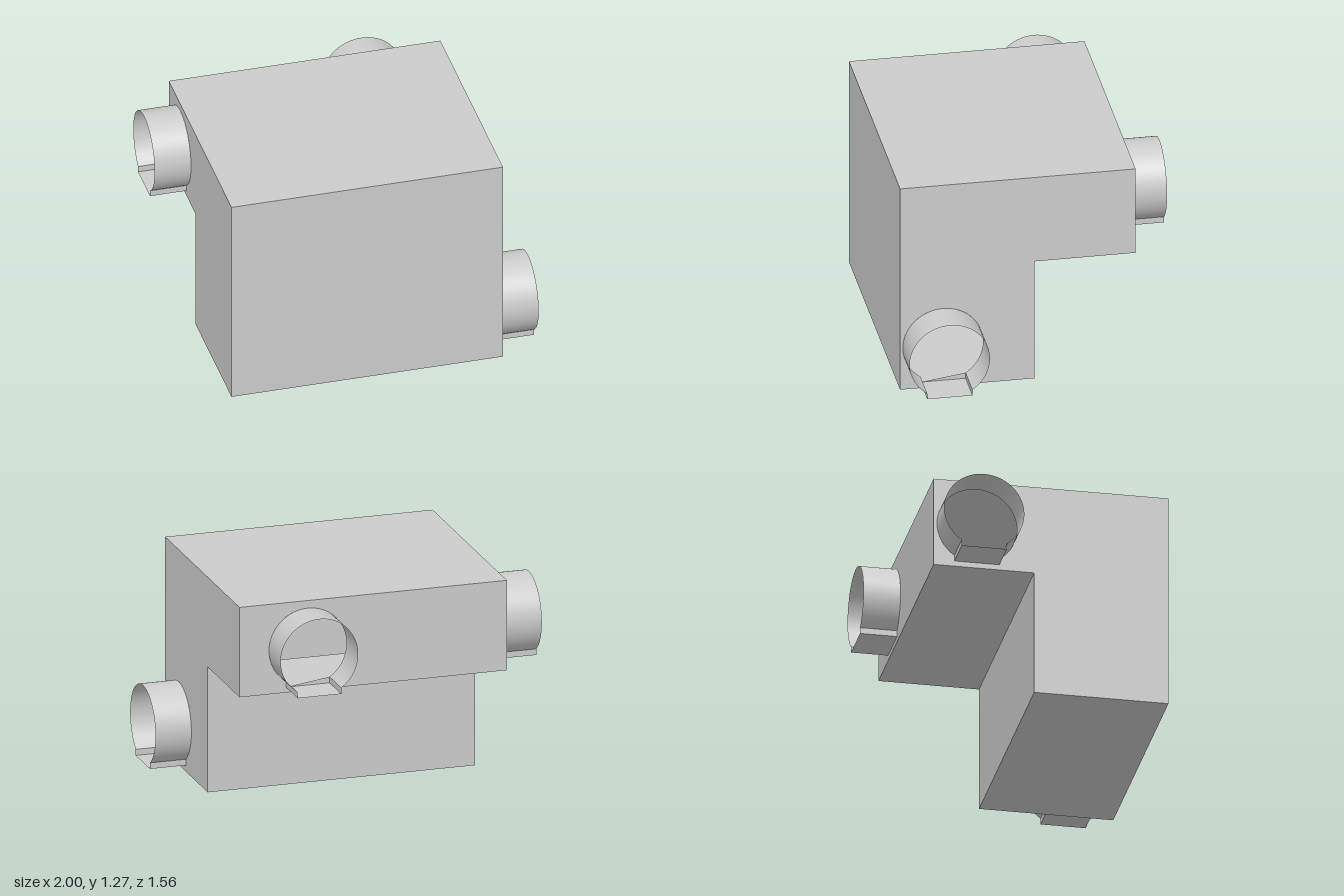
import * as THREE from 'three';

const X0 = -0.793, X1 = 0.787;                 // sides of the housing
const FRONT = 0.777, STEP = 0.008, BACK = -0.568;
const TOP = 1.271, LEDGE = 0.74;
const R = 0.229, SLOT = 0.129, SLOT_BOTTOM = -0.225, LENGTH = 0.212;
const GAP = Math.asin(SLOT / R);               // half angle of the slot opening
const LIP = -R * Math.cos(GAP);                // height where tube meets slot

const grey = new THREE.MeshStandardMaterial({ color: 0xcccccc, side: THREE.DoubleSide });

function add(parent, name, geometry) {
  const mesh = new THREE.Mesh(geometry, grey);
  mesh.name = name;
  parent.add(mesh);
  return mesh;
}

// Round outline with a flat slot at the bottom
function keyhole(x, y) {
  const path = new THREE.Path();
  path.moveTo(x + SLOT, y + SLOT_BOTTOM);
  path.absarc(x, y, R, -Math.PI / 2 + GAP, 1.5 * Math.PI - GAP, false);
  path.lineTo(x - SLOT, y + SLOT_BOTTOM);
  path.closePath();
  return path;
}

// Flat panel facing local +z, with an opening for a duct
function openPanel(parent, name, points, hole) {
  const shape = new THREE.Shape(points.map(([x, y]) => new THREE.Vector2(x, y)));
  shape.holes.push(keyhole(...hole));
  return add(parent, name, new THREE.ShapeGeometry(shape, 64));
}

// Thin open duct running along local +z
function duct(parent, name, x, y, z, turn) {
  const group = new THREE.Group();
  group.name = name;
  const tube = new THREE.CylinderGeometry(R, R, LENGTH, 64, 1, true, GAP, 2 * Math.PI - 2 * GAP);
  add(group, 'ductTube', tube.rotateX(Math.PI / 2).translate(0, 0, LENGTH / 2));
  const floor = new THREE.PlaneGeometry(2 * SLOT, LENGTH).rotateX(Math.PI / 2);
  add(group, 'slotFloor', floor.translate(0, SLOT_BOTTOM, LENGTH / 2));
  for (const s of [-1, 1]) {
    const side = new THREE.PlaneGeometry(LENGTH, LIP - SLOT_BOTTOM).rotateY(s * Math.PI / 2);
    add(group, 'slotSide', side.translate(s * SLOT, (LIP + SLOT_BOTTOM) / 2, LENGTH / 2));
  }
  group.position.set(x, y, z);
  group.rotation.y = turn;
  parent.add(group);
}

export function createModel() {
  const model = new THREE.Group();
  const housing = new THREE.Group();
  housing.name = 'housing';
  model.add(housing);

  // Plain walls of the hollow stepped housing
  const width = X1 - X0, midX = (X0 + X1) / 2;
  const wall = (name, height, y, z, tilt) => {
    const mesh = add(housing, name, new THREE.PlaneGeometry(width, height));
    mesh.position.set(midX, y, z);
    mesh.rotation.x = tilt;
  };
  wall('frontWall', TOP, TOP / 2, FRONT, 0);
  wall('topWall', FRONT - BACK, TOP, (FRONT + BACK) / 2, -Math.PI / 2);
  wall('overhangUnderside', STEP - BACK, LEDGE, (STEP + BACK) / 2, Math.PI / 2);
  wall('lowerBackWall', LEDGE, LEDGE / 2, STEP, Math.PI);
  wall('bottomWall', FRONT - STEP, 0, (FRONT + STEP) / 2, Math.PI / 2);

  // Walls with duct openings
  const profile = [[FRONT, 0], [FRONT, TOP], [BACK, TOP], [BACK, LEDGE], [STEP, LEDGE], [STEP, 0]];
  const low = [0.532, 0.262], high = [-0.32, 0.997], rear = [0.384, 0.997];

  const left = openPanel(housing, 'leftWall', profile.map(([z, y]) => [-z, y]), [-low[0], low[1]]);
  left.position.x = X1;
  left.rotation.y = Math.PI / 2;

  const right = openPanel(housing, 'rightWall', profile, high);
  right.position.x = X0;
  right.rotation.y = -Math.PI / 2;

  const back = openPanel(housing, 'upperBackWall',
    [[-X1, LEDGE], [-X0, LEDGE], [-X0, TOP], [-X1, TOP]], [-rear[0], rear[1]]);
  back.position.z = BACK;
  back.rotation.y = Math.PI;

  // Ducts
  duct(model, 'leftDuct', X1, low[1], low[0], Math.PI / 2);
  duct(model, 'rightDuct', X0, high[1], high[0], -Math.PI / 2);
  duct(model, 'rearDuct', rear[0], rear[1], BACK, Math.PI);

  return model;
}
